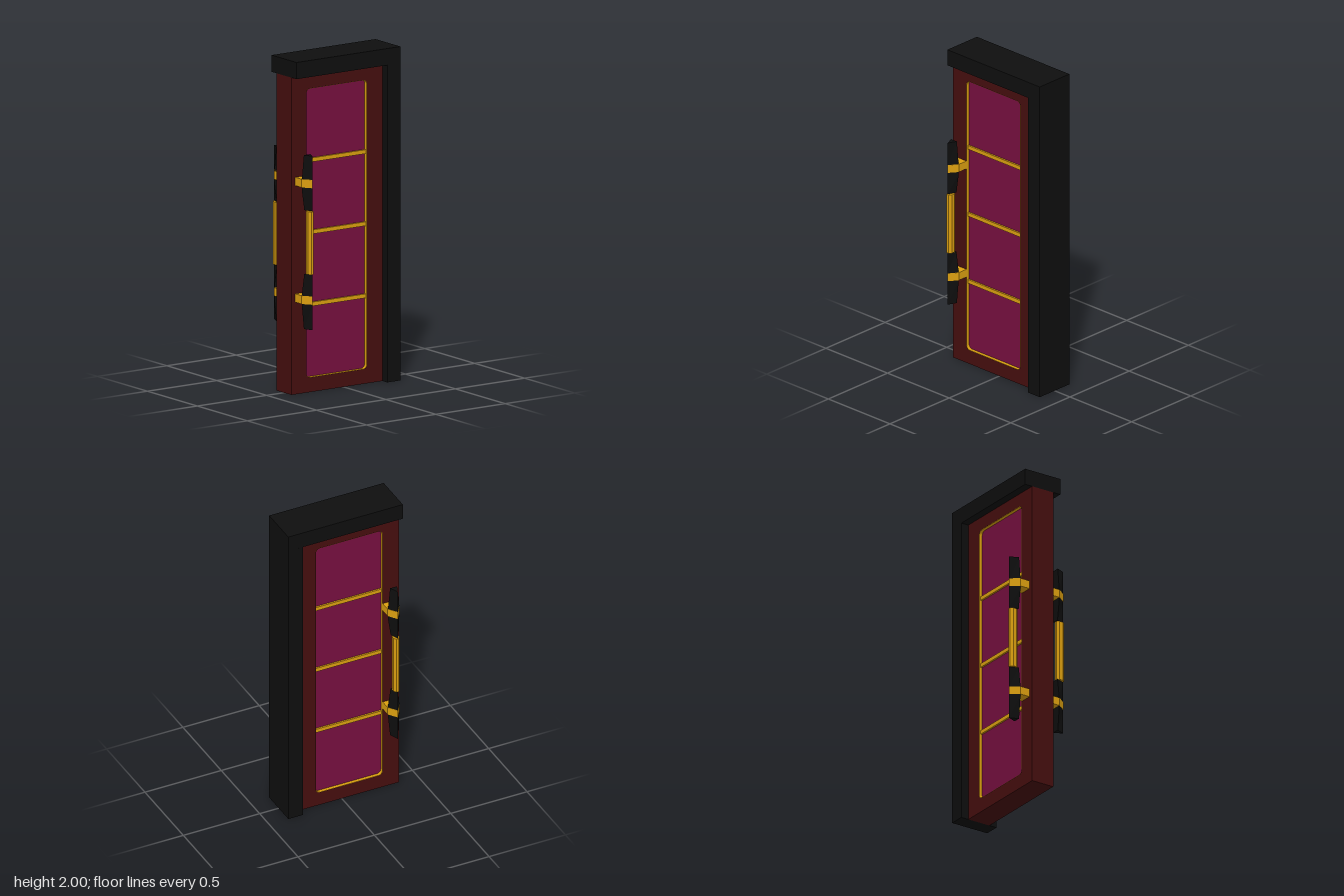
import * as THREE from 'three';

const material = (name, color) => {
  const m = new THREE.MeshStandardMaterial({ color });
  m.name = name;
  return m;
};

function add(parent, name, geometry, mat, x = 0, y = 0, z = 0) {
  const mesh = new THREE.Mesh(geometry, mat);
  mesh.name = name;
  mesh.position.set(x, y, z);
  parent.add(mesh);
  return mesh;
}

// Traces a rectangle with rounded corners on a Shape or Path
function roundedRect(p, x0, y0, x1, y1, r) {
  p.moveTo(x0 + r, y0).lineTo(x1 - r, y0);
  p.absarc(x1 - r, y0 + r, r, -Math.PI / 2, 0);
  p.absarc(x1 - r, y1 - r, r, 0, Math.PI / 2);
  p.absarc(x0 + r, y1 - r, r, Math.PI / 2, Math.PI);
  p.absarc(x0 + r, y0 + r, r, Math.PI, Math.PI * 1.5);
  return p;
}

// Extrusion centred on z = 0
function slab(shape, depth) {
  const g = new THREE.ExtrudeGeometry(shape, { depth, bevelEnabled: false, curveSegments: 5 });
  return g.translate(0, 0, -depth / 2);
}

function faceted(geometry) {
  const g = geometry.toNonIndexed();
  g.computeVertexNormals();
  return g;
}

// Triangular grip end, widest where the band sits
function gripEnd() {
  const rows = [[0.40, 0.023], [0.55, 0.038], [0.605, 0.038], [0.73, 0.02]];
  const g = new THREE.CylinderGeometry(1, 1, 3, 3, 3);
  const p = g.attributes.position;
  for (let i = 0; i < p.count; i++) {
    const [y, w] = rows[Math.round(p.getY(i) + 1.5)];
    p.setXYZ(i, p.getX(i) * w / 0.866, y, 0.138 + (p.getZ(i) + 0.5) / 1.5 * 0.054);
  }
  return faceted(g);
}

export function createModel() {
  const model = new THREE.Group();
  model.name = 'door';
  const black = material('black frame', 0x0e0e0e);
  const wood = material('dark red wood', 0x450e0e);
  const plum = material('plum panel', 0x760f3f);
  const gold = material('gold trim', 0xdb9f10);

  // Frame: top beam and one jamb
  add(model, 'topBeam', new THREE.BoxGeometry(0.75, 0.1, 0.25), black, 0, 1.95, 0);
  add(model, 'jamb', new THREE.BoxGeometry(0.095, 1.9, 0.25), black, 0.3275, 0.95, 0);

  // Door leaf with a rounded opening
  const [x0, y0, x1, y1, r] = [-0.268, 0.087, 0.17, 1.82, 0.028];
  const leaf = new THREE.Shape();
  leaf.moveTo(-0.375, 0).lineTo(0.28, 0).lineTo(0.28, 1.9).lineTo(-0.375, 1.9).closePath();
  leaf.holes.push(roundedRect(new THREE.Path(), x0, y0, x1, y1, r));
  add(model, 'doorLeaf', slab(leaf, 0.15), wood);

  // Thin gold lining of the opening
  const t = 0.002;
  const lining = roundedRect(new THREE.Shape(), x0, y0, x1, y1, r);
  lining.holes.push(roundedRect(new THREE.Path(), x0 + t, y0 + t, x1 - t, y1 - t, r - t));
  add(model, 'panelLining', slab(lining, 0.149), gold);

  // Recessed panel and its gold dividers
  add(model, 'panel', slab(roundedRect(new THREE.Shape(), x0, y0, x1, y1, r), 0.108), plum);
  for (const y of [0.522, 0.954, 1.386])
    add(model, 'divider', new THREE.BoxGeometry(x1 - x0, 0.024, 0.13), gold, (x0 + x1) / 2, y, 0);

  // Band: rectangular bracket that wraps the triangular grip
  const bandShape = new THREE.Shape();
  bandShape.moveTo(-0.04, -0.07).lineTo(0.04, -0.07).lineTo(0.04, -0.138);
  bandShape.lineTo(0, -0.194).lineTo(-0.04, -0.138).closePath();
  const bandGeometry = slab(bandShape, 0.05).rotateX(-Math.PI / 2);
  const endGeometry = gripEnd();
  const barGeometry = faceted(new THREE.CylinderGeometry(1, 1, 0.376, 8, 1, false, Math.PI / 8)
    .scale(0.021, 1, 0.029));

  // One handle on each side of the door
  for (const turn of [0, Math.PI]) {
    const handle = new THREE.Group();
    handle.name = turn ? 'backHandle' : 'frontHandle';
    handle.position.x = -0.308;
    handle.rotation.y = turn;
    add(handle, 'gripBar', barGeometry, gold, 0, 0.92, 0.165);
    add(handle, 'lowerGripEnd', endGeometry, black);
    // Same end turned upside down about the middle of the handle
    const upper = add(handle, 'upperGripEnd', endGeometry, black, 0, 1.842, 0.33);
    upper.rotation.x = Math.PI;
    upper.geometry = endGeometry.clone().rotateY(Math.PI).translate(0, 0, 0.33);
    for (const y of [0.577, 1.275]) add(handle, 'band', bandGeometry, gold, 0, y, 0);
    model.add(handle);
  }
  return model;
}
